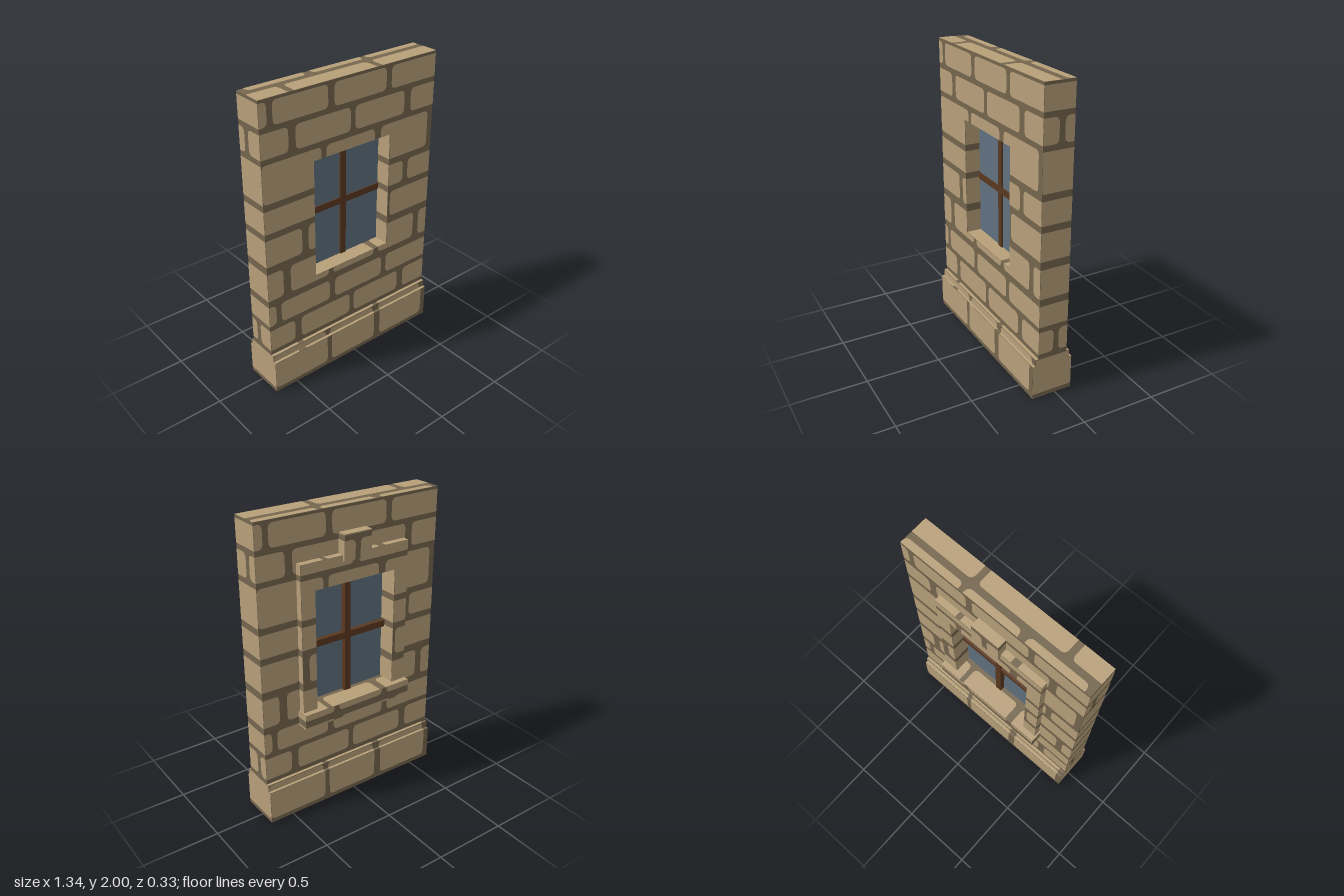
import * as THREE from 'three';

const stone = new THREE.MeshStandardMaterial({ color: 0xb8a07a });
stone.name = 'sandstone';
const mortar = new THREE.MeshStandardMaterial({ color: 0x75664e });
mortar.name = 'mortar';
const glass = new THREE.MeshStandardMaterial({ color: 0x60707f });
glass.name = 'glass';
const wood = new THREE.MeshStandardMaterial({ color: 0x5b3820 });
wood.name = 'darkWood';

// Stone courses: bottom, top, then the start and end of each stone
const PERIOD = 1.333;
const COURSES = [
  [0.03, 0.278, [[-0.667, -0.243], [-0.208, 0.172], [0.223, 0.625]]],
  [0.313, 0.468, [[-0.8, -0.475], [-0.425, -0.022], [0.015, 0.412], [0.465, 0.8]]],
  [0.502, 0.648, [[-0.8, -0.613], [-0.575, -0.19], [-0.145, 0.257], [0.298, 0.8]]],
  [0.695, 0.89, [[-0.8, -0.55], [-0.495, -0.195], [-0.16, 0.188], [0.225, 0.543], [0.592, 0.8]]],
  [0.942, 1.125, [[-0.8, -0.4], [-0.352, 0.275], [0.318, 0.8]]],
  [1.168, 1.32, [[-0.8, -0.225], [-0.183, 0.423], [0.465, 0.8]]],
];

// Outline of one stone with worn corners
function stoneOutline(u0, u1, v0, v1) {
  const r = 0.03, s = new THREE.Shape();
  s.moveTo(u0 + r, v0);
  s.lineTo(u1 - r, v0); s.quadraticCurveTo(u1 - 0.004, v0, u1, v0 + r);
  s.lineTo(u1, v1 - r); s.quadraticCurveTo(u1 - 0.004, v1, u1 - r, v1);
  s.lineTo(u0 + r, v1); s.quadraticCurveTo(u0 + 0.004, v1, u0, v1 - r);
  s.lineTo(u0, v0 + r); s.quadraticCurveTo(u0 + 0.004, v0, u0 + r, v0);
  return s.getPoints(4).map((p) => [p.x, p.y]);
}

const STONES = [];
for (const k of [-1, 0, 1]) {
  for (const [v0, v1, spans] of COURSES) {
    for (const [u0, u1] of spans) STONES.push(stoneOutline(u0, u1, v0 + k * PERIOD, v1 + k * PERIOD));
  }
}

// Keep the part of a convex outline where sign * coordinate <= sign * limit
function clip(points, axis, limit, sign) {
  const out = [];
  points.forEach((a, i) => {
    const b = points[(i + 1) % points.length];
    const da = sign * (limit - a[axis]), db = sign * (limit - b[axis]);
    if (da >= 0) out.push(a);
    if (da * db < 0) {
      const t = da / (da - db);
      out.push([a[0] + (b[0] - a[0]) * t, a[1] + (b[1] - a[1]) * t]);
    }
  });
  return out;
}

// Outward normal and the directions along which courses run on each side
const FACES = [
  [[0, 0, 1], [1, 0, 0], [0, 1, 0]],
  [[0, 0, -1], [-1, 0, 0], [0, 1, 0]],
  [[1, 0, 0], [0, 0, -1], [0, 1, 0]],
  [[-1, 0, 0], [0, 0, 1], [0, 1, 0]],
  [[0, 1, 0], [-1, 0, 0], [0, 0, -1]],
  [[0, -1, 0], [1, 0, 0], [0, 0, -1]],
].map((f) => f.map((a) => new THREE.Vector3(...a)));

function box(name, material, x0, x1, y0, y1, z0, z1) {
  const mesh = new THREE.Mesh(new THREE.BoxGeometry(x1 - x0, y1 - y0, z1 - z0), material);
  mesh.position.set((x0 + x1) / 2, (y0 + y1) / 2, (z0 + z1) / 2);
  mesh.name = name;
  return mesh;
}

// A mortar block with thin stone faces on every side
function masonry(name, x0, x1, y0, y1, z0, z1) {
  const group = new THREE.Group();
  group.name = name;
  group.add(box(name + 'Mortar', mortar, x0, x1, y0, y1, z0, z1));
  const lo = new THREE.Vector3(x0, y0, z0), hi = new THREE.Vector3(x1, y1, z1);
  const pos = [];
  for (const [n, u, v] of FACES) {
    const depth = Math.max(lo.dot(n), hi.dot(n)) + 0.0015;
    const flip = new THREE.Vector3().crossVectors(u, v).dot(n) < 0;
    for (const outline of STONES) {
      let pts = outline;
      [u, v].forEach((dir, axis) => {
        const a = lo.dot(dir), b = hi.dot(dir);
        pts = clip(pts, axis, Math.max(a, b), 1);
        pts = clip(pts, axis, Math.min(a, b), -1);
      });
      if (pts.length < 3) continue;
      const p3 = pts.map(([s, t]) => new THREE.Vector3()
        .addScaledVector(n, depth).addScaledVector(u, s).addScaledVector(v, t));
      if (flip) p3.reverse();
      for (let i = 1; i < p3.length - 1; i++) {
        for (const p of [p3[0], p3[i], p3[i + 1]]) pos.push(p.x, p.y, p.z);
      }
    }
  }
  const geo = new THREE.BufferGeometry();
  geo.setAttribute('position', new THREE.Float32BufferAttribute(pos, 3));
  geo.computeVertexNormals();
  const faces = new THREE.Mesh(geo, stone);
  faces.name = name + 'Stones';
  group.add(faces);
  return group;
}

export function createModel() {
  const model = new THREE.Group();
  model.name = 'wallWithWindow';
  const W = 0.666, F = 0.123, B = -0.077; // wall half width, front, back
  const O = 0.3, y0 = 0.735, y1 = 1.535; // window opening

  // Stepped plinth
  model.add(masonry('plinth', -W, W, 0, 0.232, -0.115, 0.162));
  model.add(masonry('plinthStep', -W, W, 0.232, 0.28, -0.096, 0.143));

  // Wall around the opening
  model.add(masonry('lowerWall', -W, W, 0.28, y0, B, F));
  model.add(masonry('upperWall', -W, W, y1, 1.9985, B, F));
  model.add(masonry('leftPier', O, W, y0, y1, B, F));
  model.add(masonry('rightPier', -W, -O, y0, y1, B, F));

  // Raised surround on the back
  model.add(masonry('leftJamb', O, 0.4, y0, y1, -0.122, B));
  model.add(masonry('rightJamb', -0.4, -O, y0, y1, -0.122, B));
  model.add(masonry('lintel', -0.4, 0.4, y1, 1.71, -0.122, B));
  model.add(masonry('sill', -0.412, 0.412, 0.635, y0, -0.161, B));
  model.add(masonry('keystone', -0.1, 0.1, 1.675, 1.84, -0.141, B));

  // Window
  model.add(box('pane', glass, -O, O, y0, y1, 0, 0.02));
  model.add(box('uprightBar', wood, -0.022, 0.022, y0, y1, -0.035, 0.03));
  model.add(box('crossBar', wood, -O, O, 1.113, 1.157, -0.033, 0.028));
  return model;
}
